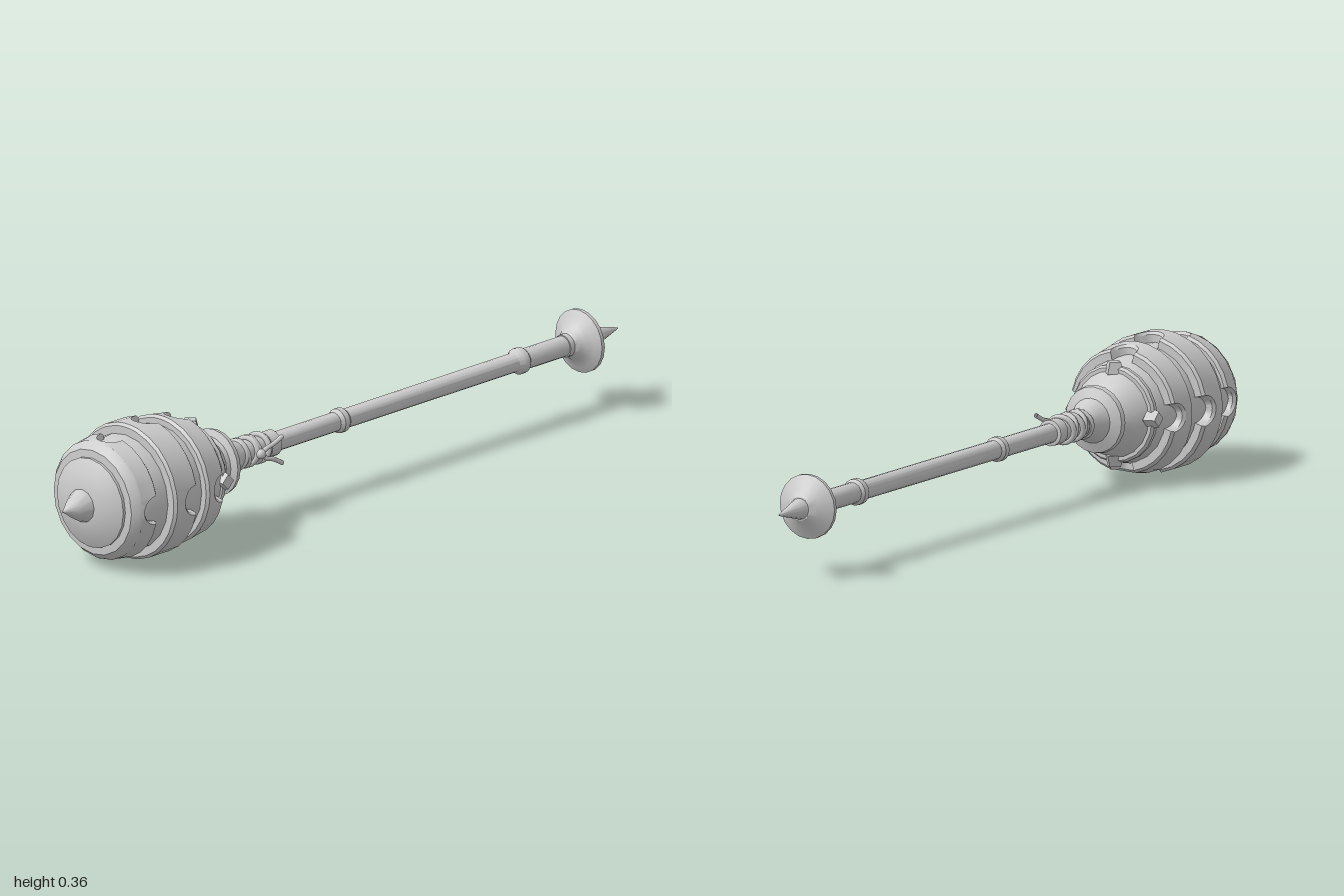
import * as THREE from 'three';
import { toCreasedNormals } from 'three/addons/utils/BufferGeometryUtils.js';

const AXIS_Y = 0.18;
const mat = new THREE.MeshStandardMaterial({ color: 0xcccccc, side: THREE.DoubleSide });

export function createModel() {
  const root = new THREE.Group();
  const mace = new THREE.Group();
  mace.name = 'mace';
  mace.position.y = AXIS_Y;
  root.add(mace);

  const add = (name, geo) => {
    const m = new THREE.Mesh(geo, mat);
    m.name = name;
    mace.add(m);
    return m;
  };

  // Turned part along z: points are [z, radius], z rising
  const turned = (name, pts, sides = 20) => {
    const g = new THREE.LatheGeometry(pts.map(([z, r]) => new THREE.Vector2(r, z)), sides);
    g.rotateX(Math.PI / 2);
    return add(name, toCreasedNormals(g, 0.6));
  };

  // Ring of plate whose rear edge has four half-round notches
  const notchedBand = (name, z0, z1, r0, r1, rIn, width, depth) => {
    const half = width / r0, angles = [];
    for (let q = 0; q < 4; q++) {
      const mid = q * Math.PI / 2;
      for (let i = 0; i <= 14; i++) {
        const t = -Math.cos(i / 14 * Math.PI);
        angles.push([mid + half * t, depth * Math.sqrt(Math.max(0, 1 - t * t))]);
      }
      for (let i = 1; i < 5; i++) angles.push([mid + half + (Math.PI / 2 - 2 * half) * i / 5, 0]);
    }
    const pos = [], idx = [], n = angles.length, bevel = 0.007;
    for (const [a, cut] of angles) {
      const zr = z0 + cut, rr = r0 + (r1 - r0) * cut / (z1 - z0);
      const section = [[rIn, zr], [rr - bevel, zr], [rr, zr + bevel],
        [r1, z1 - bevel], [r1 - bevel, z1], [rIn, z1]];
      for (const [r, z] of section) pos.push(r * Math.cos(a), r * Math.sin(a), z);
    }
    for (let i = 0; i < n; i++) for (let j = 0; j < 6; j++) {
      const k = (i + 1) % n, l = (j + 1) % 6;
      const a = i * 6 + j, b = k * 6 + j, c = k * 6 + l, d = i * 6 + l;
      idx.push(a, b, c, a, c, d);
    }
    const g = new THREE.BufferGeometry();
    g.setAttribute('position', new THREE.Float32BufferAttribute(pos, 3));
    g.setIndex(idx);
    return add(name, toCreasedNormals(g, 0.5));
  };

  // Head: core, bands and front spike
  turned('headCore', [[0.37, 0.036], [0.40, 0.04], [0.43, 0.058], [0.442, 0.085], [0.455, 0.088],
    [0.462, 0.07], [0.475, 0.068], [0.50, 0.09], [0.53, 0.112], [0.57, 0.132], [0.64, 0.147],
    [0.70, 0.152], [0.77, 0.151], [0.82, 0.146], [0.87, 0.132], [0.885, 0.118],
    [0.897, 0.118], [0.915, 0.085], [0.926, 0.045], [0.926, 0]]);
  notchedBand('rearBand', 0.572, 0.645, 0.160, 0.169, 0.12, 0.037, 0.038);
  notchedBand('middleBand', 0.685, 0.77, 0.178, 0.178, 0.14, 0.04, 0.042);
  notchedBand('frontBand', 0.812, 0.872, 0.162, 0.154, 0.12, 0.038, 0.04);
  turned('frontBandShoulder', [[0.865, 0.156], [0.872, 0.152], [0.888, 0.138], [0.89, 0.11]]);
  turned('neckRing', [[0.528, 0.10], [0.528, 0.12], [0.535, 0.126], [0.546, 0.126], [0.55, 0.11]]);
  turned('frontSpike', [[0.915, 0.044], [0.93, 0.043], [0.96, 0.026], [0.985, 0.008], [0.995, 0.002], [1, 0]], 12);

  // Four diamond studs on the neck ring
  for (let q = 0; q < 4; q++) {
    const g = new THREE.CylinderGeometry(0.02, 0.03, 0.03, 4);
    g.translate(0, 0.12, 0);
    const stud = add('diamondStud', g.toNonIndexed());
    stud.geometry.computeVertexNormals();
    stud.position.z = 0.537;
    stud.rotation.z = q * Math.PI / 2;
  }

  // Shaft with two knuckles and a sleeve under the head
  turned('shaft', [[-0.85, 0.03], [-0.80, 0.03], [-0.80, 0.027], [-0.66, 0.027], [-0.652, 0.034],
    [-0.635, 0.034], [-0.622, 0.025], [-0.015, 0.025], [-0.006, 0.032], [0.01, 0.032],
    [0.02, 0.025], [0.24, 0.025], [0.242, 0.034], [0.275, 0.034], [0.28, 0.03], [0.39, 0.032]], 16);

  // Pommel disc and rear spike
  turned('pommel', [[-0.902, 0], [-0.902, 0.03], [-0.888, 0.05], [-0.868, 0.083], [-0.858, 0.083],
    [-0.848, 0.066], [-0.835, 0.045], [-0.825, 0.038], [-0.815, 0.03]], 20);
  turned('rearSpike', [[-1, 0], [-0.99, 0.004], [-0.90, 0.028], [-0.885, 0.03]], 12);

  // Cord wrapped round the neck
  [0.295, 0.315, 0.336, 0.357, 0.376].forEach((z, i) => {
    const coil = add('cordCoil', new THREE.TorusGeometry(0.034, 0.008, 8, 20));
    coil.position.z = z;
    coil.rotation.set(i % 2 ? 0.2 : -0.15, i % 2 ? -0.15 : 0.2, 0);
  });

  // Knot and its two loose ends
  const knot = add('cordKnot', new THREE.SphereGeometry(0.013, 10, 8));
  knot.position.set(0.042, 0, 0.325);
  for (const s of [1, -1]) {
    const path = new THREE.CatmullRomCurve3([[0.04, 0, 0.325], [0.048, 0.014 * s, 0.31],
      [0.05, 0.02 * s, 0.29], [0.056, 0.036 * s, 0.262]].map(p => new THREE.Vector3(...p)));
    add('cordEnd', new THREE.TubeGeometry(path, 12, 0.006, 8));
  }
  return root;
}
